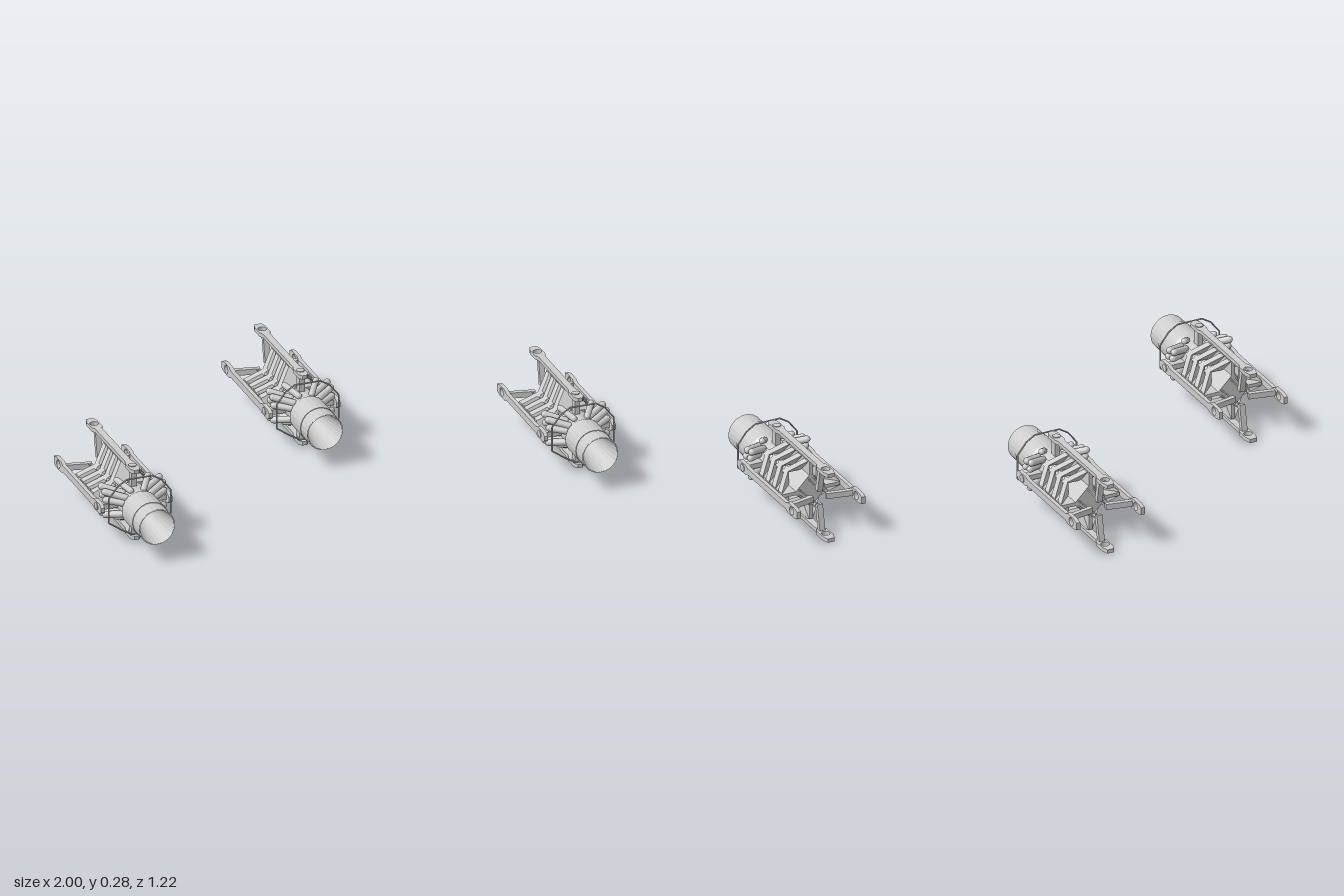
import * as THREE from 'three';

const grey = new THREE.MeshStandardMaterial({ color: 0xcccccc, flatShading: true, side: THREE.DoubleSide });
const smooth = new THREE.MeshStandardMaterial({ color: 0xcccccc, side: THREE.DoubleSide });

function add(parent, name, geometry, material = grey) {
  const mesh = new THREE.Mesh(geometry, material);
  mesh.name = name;
  parent.add(mesh);
  return mesh;
}

// Round-ended or plain bar between two points
function bar(parent, name, a, b, radius, capped) {
  const from = new THREE.Vector3(...a), to = new THREE.Vector3(...b);
  const dir = to.clone().sub(from), length = dir.length();
  const mesh = add(parent, name, capped
    ? new THREE.CapsuleGeometry(radius, length, 4, 12)
    : new THREE.CylinderGeometry(radius, radius, length, 6), capped ? smooth : grey);
  mesh.position.copy(from).add(to).multiplyScalar(0.5);
  mesh.quaternion.setFromUnitVectors(new THREE.Vector3(0, 1, 0), dir.normalize());
  return mesh;
}

// Swept-back slat: narrows and leans to the rear as it goes outward
function slatGeometry(rIn, rOut, depth) {
  const g = new THREE.BoxGeometry(1, 1, depth);
  const p = g.attributes.position;
  for (let i = 0; i < p.count; i++) {
    const k = p.getY(i) + 0.5, r = rIn + (rOut - rIn) * k;
    p.setXYZ(i, p.getX(i) * 2 * (0.128 - r), r, p.getZ(i) - (r - rIn));
  }
  g.computeVertexNormals();
  return g;
}

// Long rail plate, wide at both ends, pierced by a round hole at the rear
function railGeometry() {
  const half = [[0.009, -0.405], [0.019, -0.39], [0.019, -0.335], [0.013, -0.32],
    [0.013, -0.02], [0.021, -0.005], [0.021, 0.045], [0.014, 0.07]];
  const s = new THREE.Shape([...half, ...half.map(([x, y]) => [-x, y]).reverse()]
    .map(([x, y]) => new THREE.Vector2(x, y)));
  s.holes.push(new THREE.Path().absarc(0, 0.025, 0.016, 0, Math.PI * 2, true));
  const g = new THREE.ExtrudeGeometry(s, { depth: 0.015, bevelEnabled: false, curveSegments: 10 });
  return g.rotateX(-Math.PI / 2).translate(0, 0.124, 0);
}

// Thin web plate in the radial plane
function webGeometry() {
  const s = new THREE.Shape([[0, -0.33], [0.055, -0.31], [0.112, -0.25], [0.117, -0.09], [0, -0.09]]
    .map(([r, z]) => new THREE.Vector2(z, r)));
  const g = new THREE.ExtrudeGeometry(s, { depth: 0.014, bevelEnabled: false });
  return g.translate(0, 0, -0.007).rotateY(Math.PI / 2);
}

// One of four identical arms around the axis
function createArm() {
  const arm = new THREE.Group();
  arm.name = 'arm';
  add(arm, 'rail', railGeometry());
  add(arm, 'web', webGeometry());
  for (let i = 0; i < 4; i++) {
    add(arm, 'slat', slatGeometry(0.055, 0.117, 0.028)).position.z = 0.32 - i * 0.05;
  }
  const boss = add(arm, 'railBoss', new THREE.CylinderGeometry(0.015, 0.015, 0.02, 12));
  boss.position.set(0, 0.132, 0.36);
  add(arm, 'frontMount', new THREE.BoxGeometry(0.02, 0.075, 0.03)).position.set(0, 0.09, 0.365);
  add(arm, 'railClip', new THREE.BoxGeometry(0.012, 0.01, 0.11)).position.set(0, 0.121, 0.17);
  // Rear bracket reaching from the rail in towards the axis
  const strut = add(arm, 'rearStrut', new THREE.BoxGeometry(0.022, 0.1, 0.018));
  strut.position.set(0, 0.077, 0.017);
  strut.rotation.x = -0.2;
  for (const s of [-1, 1]) {
    bar(arm, 'rearRod', [s * 0.012, 0.05, 0.1], [s * 0.008, 0.04, 0.02], 0.003);
  }
  return arm;
}

function createEngine() {
  const engine = new THREE.Group();
  engine.name = 'engine';

  // Hollow nozzle, open at the front
  const profile = [[0.069, 0.61], [0.069, 0.545], [0.071, 0.545], [0.071, 0.44], [0.064, 0.425],
    [0.064, 0.34], [0.05, 0.31]].map(([r, z]) => new THREE.Vector2(r, z));
  add(engine, 'nozzle', new THREE.LatheGeometry(profile, 24).rotateX(Math.PI / 2));
  add(engine, 'nozzleLiner', new THREE.CylinderGeometry(0.066, 0.035, 0.17, 24, 1, true)
    .rotateX(Math.PI / 2)).position.z = 0.525;
  add(engine, 'nozzleBack', new THREE.CircleGeometry(0.035, 24)).position.z = 0.44;

  // Diamond core behind the nozzle
  add(engine, 'core', new THREE.CylinderGeometry(0.068, 0.068, 0.24, 4).rotateX(Math.PI / 2))
    .position.z = 0.21;

  for (let i = 0; i < 4; i++) {
    const arm = createArm();
    arm.rotation.z = i * Math.PI / 2;
    engine.add(arm);
  }

  // Thin frame around the back of the nozzle
  const half = [[0.05, 0.122], [0.085, 0.1], [0.12, 0.055], [0.12, -0.04], [0.07, -0.075], [0.03, -0.1]];
  const loop = [...half, ...half.map(([x, y]) => [-x, y]).reverse()];
  loop.forEach(([x, y], i) => {
    const [u, v] = loop[(i + 1) % loop.length];
    bar(engine, 'frame', [x, y, 0.434], [u, v, 0.434], 0.003);
  });

  // Clusters of round-ended pipes on both sides
  for (const s of [-1, 1]) {
    for (const [y, z] of [[0.058, 0.375], [0.066, 0.34], [0.03, 0.385], [0.036, 0.35],
      [-0.03, 0.38], [-0.036, 0.345]]) {
      bar(engine, 'pipe', [s * 0.045, y * 0.7, z + 0.04], [s * 0.112, y, z], 0.013, true);
    }
    for (const y of [0.09, -0.055]) {
      bar(engine, 'upperPipe', [s * 0.025, y * 0.7, 0.41], [s * 0.06, y, 0.36], 0.012, true);
    }
  }
  return engine;
}

export function createModel() {
  const model = new THREE.Group();
  model.name = 'engineTrio';
  // Outer pair forward, middle one set back
  for (const [name, x, z] of [['rightEngine', -0.86, 0], ['middleEngine', 0, -0.54], ['leftEngine', 0.86, 0]]) {
    const engine = createEngine();
    engine.name = name;
    engine.position.set(x, 0.143, z);
    model.add(engine);
  }
  return model;
}
